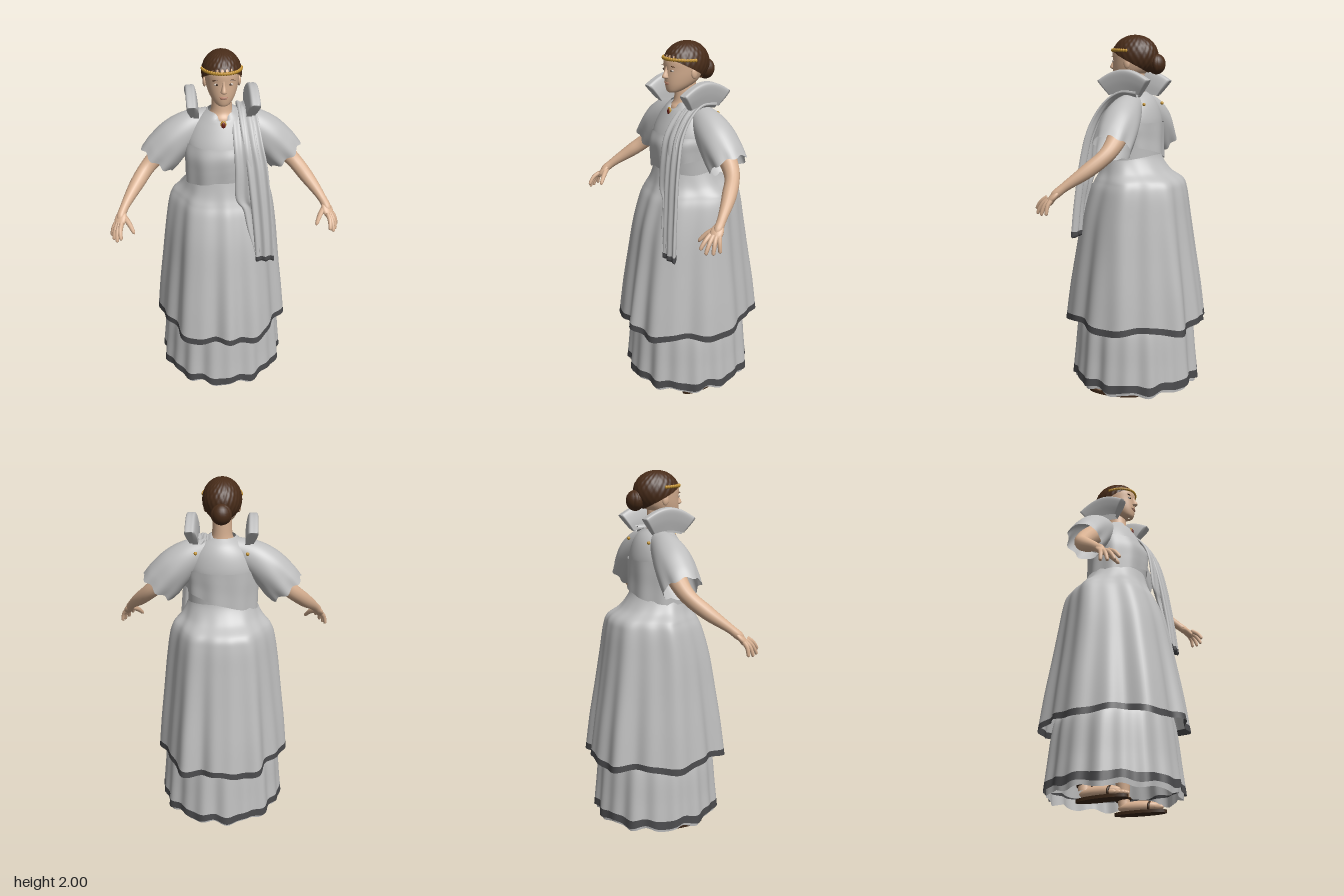
import * as THREE from 'three';

const mat = (name, color, side = THREE.FrontSide) => {
  const m = new THREE.MeshStandardMaterial({ color, side });
  m.name = name;
  return m;
};
const D = THREE.DoubleSide;

// Smooth interpolation through evenly numbered rows of values
function smooth(rows) {
  const n = rows[0].length;
  const itp = new THREE.CubicInterpolant(rows.map((_, i) => i), rows.flat(), n, new Float32Array(n));
  return t => Array.from(itp.evaluate(Math.min(Math.max(t, 0), rows.length - 1)));
}

// Surface from fn(u, v) -> [x, y, z]; closed wraps u
function grid(fn, nu, nv, closed = true) {
  const pos = [], idx = [], w = closed ? nu : nu + 1;
  for (let j = 0; j <= nv; j++) for (let i = 0; i < w; i++) pos.push(...fn(i / nu, j / nv));
  for (let j = 0; j < nv; j++) for (let i = 0; i < nu; i++) {
    const a = j * w + i, b = j * w + (i + 1) % w, c = a + w, d = b + w;
    idx.push(a, b, d, a, d, c);
  }
  const g = new THREE.BufferGeometry();
  g.setAttribute('position', new THREE.Float32BufferAttribute(pos, 3));
  g.setIndex(idx);
  g.computeVertexNormals();
  return g;
}

// Horizontal oval sections, bottom up: [y, half width, front z, back z, fold depth]
function loft(rows, { t0 = 0, t1 = rows.length - 1, fold = () => 0, shape = () => 1, dy = () => 0, nu = 64, nv = 24 } = {}) {
  const at = smooth(rows);
  return grid((u, v) => {
    const a = u * Math.PI * 2, t = t0 + (t1 - t0) * v;
    const [y, rx, zf, zb, f = 0] = at(t);
    const k = (1 + f * fold(a) / 0.38) * shape(a, t);
    return [rx * Math.sin(a) * k, y + dy(a, t), (zf + zb) / 2 + (zf - zb) / 2 * Math.cos(a) * k];
  }, nu, nv);
}

// Round limb through points [x, y, z, radius]
function limb(pts, nu = 12, nv = 20) {
  const curve = new THREE.CatmullRomCurve3(pts.map(p => new THREE.Vector3(p[0], p[1], p[2])));
  const fr = curve.computeFrenetFrames(nv), rad = smooth(pts.map(p => [p[3]]));
  return grid((u, v) => {
    const j = Math.round(v * nv), a = u * Math.PI * 2, r = Math.max(rad(v * (pts.length - 1))[0], 0);
    return curve.getPoint(v).addScaledVector(fr.normals[j], r * Math.cos(a))
      .addScaledVector(fr.binormals[j], r * Math.sin(a)).toArray();
  }, nu, nv);
}

export function createModel() {
  const root = new THREE.Group();
  root.name = 'robedWoman';
  const cloth = mat('cloth', 0xbebebe, D), trim = mat('darkTrim', 0x4a4a4c, D), skin = mat('skin', 0xd8b192);
  const hair = mat('hair', 0x482c19, D), gold = mat('gold', 0xc0902f), leather = mat('leather', 0x3d2818);
  const red = mat('pendantRed', 0x6a1f18), white = mat('eyeWhite', 0xcfc3b8), lip = mat('lip', 0xb07c66);

  const add = (name, geo, m, parent = root) => {
    const mesh = new THREE.Mesh(geo, m);
    mesh.name = name;
    parent.add(mesh);
    return mesh;
  };
  const ball = (name, m, [x, y, z], [sx, sy, sz], parent = root) => {
    const b = add(name, new THREE.SphereGeometry(1, 20, 14), m, parent);
    b.position.set(x, y, z);
    b.scale.set(sx, sy, sz);
    return b;
  };

  // Overskirt: squarish panels with a flared pleat at each side, and a dark hem
  const over = [
    [0.405, 0.325, 0.385, -0.39, 0.022], [0.6, 0.308, 0.358, -0.366, 0.019], [0.8, 0.287, 0.325, -0.336, 0.015],
    [1.0, 0.266, 0.288, -0.307, 0.011], [1.15, 0.245, 0.243, -0.285, 0.009], [1.215, 0.224, 0.212, -0.262, 0.007],
    [1.265, 0.2, 0.193, -0.195, 0.004], [1.34, 0.182, 0.175, -0.145, 0], [1.42, 0.17, 0.16, -0.13, 0]];
  const overOpt = {
    nu: 200,
    fold: a => 0.6 * Math.cos(10 * a) + 0.4 * Math.sin(15 * a + 1) + 0.3 * Math.sin(6 * a),
    dy: (a, t) => Math.max(0, 1 - t) * 0.013 * Math.cos(6 * a + 0.4),
    shape: (a, t) => {
      const s = Math.abs(Math.sin(a)), c = Math.abs(Math.cos(a)), n = 2.6;
      const square = (s ** n + c ** n) ** (-1 / n), fromSide = Math.acos(Math.min(s, 1));
      const pleat = 0.2 * Math.exp(-((fromSide / 0.24) ** 2));
      return 1 + (square * (1 + pleat) - 1) * Math.min(1, Math.max(0, (7 - t) / 2));
    },
  };
  add('overskirt', loft(over, { ...overOpt, t0: 0.18, nv: 50 }), cloth);
  add('overskirtHem', loft(over, { ...overOpt, t1: 0.18, nv: 3 }), trim);

  // Underskirt, its hem and the frill beneath
  const under = [[0.07, 0.36, 0.357, -0.365, 0.013], [0.2, 0.347, 0.343, -0.352, 0.012], [0.4, 0.326, 0.325, -0.333, 0.009],
    [0.55, 0.272, 0.3, -0.305, 0.006], [1.2, 0.17, 0.165, -0.165, 0]];
  const underOpt = {
    nu: 180,
    fold: a => 0.6 * Math.sin(18 * a) + 0.5 * Math.cos(11 * a + 1),
    dy: (a, t) => Math.max(0, 1 - t) * 0.009 * Math.sin(11 * a),
  };
  add('underskirt', loft(under, { ...underOpt, t0: 0.36 }), cloth);
  add('underskirtHem', loft(under, { ...underOpt, t1: 0.36, nv: 3 }), trim);
  add('underskirtFrill', loft([[0.048, 0.343, 0.34, -0.348, 0.014], [0.1, 0.347, 0.344, -0.352, 0.012]],
    { ...underOpt, nv: 2 }), cloth);

  // Bodice with dipped neckline, and the slanted wrap around the chest
  add('bodice', loft([[1.3, 0.185, 0.172, -0.14], [1.4, 0.188, 0.183, -0.14], [1.47, 0.193, 0.185, -0.14],
    [1.54, 0.193, 0.165, -0.14], [1.61, 0.165, 0.132, -0.125], [1.66, 0.12, 0.105, -0.1], [1.695, 0.072, 0.085, -0.062]],
  { dy: (a, t) => -0.055 * Math.exp(-((Math.min(a, 2 * Math.PI - a) / 0.35) ** 2)) * Math.max(0, t - 5) }), cloth);
  add('chestWrap', loft([[1.355, 0.198, 0.19, -0.155, 0.009], [1.42, 0.199, 0.195, -0.152, 0.008],
    [1.48, 0.202, 0.194, -0.152, 0.006], [1.53, 0.198, 0.175, -0.152, 0.004]],
  { fold: a => Math.sin(9 * a), nu: 96, dy: (a, t) => 0.055 * Math.sin(a) * (1 - t / 3) }), cloth);

  // Neck, head and face
  add('neck', loft([[1.6, 0.11, 0.1, -0.08], [1.66, 0.075, 0.092, -0.06], [1.7, 0.055, 0.072, -0.05],
    [1.8, 0.05, 0.065, -0.05]], { nu: 32 }), skin);
  add('head', loft([[1.742, 0.004, 0.1, 0.09], [1.748, 0.032, 0.119, 0.05], [1.775, 0.058, 0.127, -0.02],
    [1.81, 0.075, 0.13, -0.07], [1.86, 0.086, 0.129, -0.09], [1.92, 0.088, 0.129, -0.09], [1.965, 0.06, 0.09, -0.06],
    [1.985, 0.002, 0.02, 0]], { nu: 40 }), skin);
  add('nose', loft([[1.818, 0.004, 0.138, 0.12], [1.824, 0.016, 0.151, 0.11], [1.835, 0.014, 0.153, 0.11],
    [1.86, 0.008, 0.139, 0.11], [1.885, 0.007, 0.13, 0.11]], { nu: 16, nv: 14 }), skin);
  ball('upperLip', lip, [0, 1.797, 0.126], [0.023, 0.004, 0.008]);
  ball('lowerLip', lip, [0, 1.79, 0.125], [0.019, 0.005, 0.008]);
  for (const s of [-1, 1]) {
    ball('eye', white, [s * 0.035, 1.862, 0.118], [0.013, 0.006, 0.007]);
    ball('iris', leather, [s * 0.034, 1.862, 0.1225], [0.0055, 0.0055, 0.004]);
    ball('eyebrow', hair, [s * 0.037, 1.884, 0.1175], [0.021, 0.0025, 0.006]).rotation.z = -s * 0.1;
    ball('ear', skin, [s * 0.088, 1.845, 0.015], [0.01, 0.028, 0.018]);
    ball('shoulderPin', gold, [s * 0.135, 1.63, -0.105], [0.009, 0.009, 0.009]);
  }

  // Hair cap low at the nape, with a coiled bun
  add('hairCap', grid((u, v) => {
    const a = u * Math.PI * 2, phi = (1 - v) * (1.25 + 0.62 * (1 - Math.cos(a)));
    const k = 1 + 0.016 * Math.sin(24 * a) * Math.sin(phi) * Math.sin(phi * 12 + a);
    return [0.102 * k * Math.sin(phi) * Math.sin(a), 1.888 + 0.112 * k * Math.cos(phi),
      0.003 + 0.13 * k * Math.sin(phi) * Math.cos(a)];
  }, 120, 30), hair);
  ball('bun', hair, [0, 1.843, -0.122], [0.05, 0.055, 0.05]);
  add('bunCoil', new THREE.TorusGeometry(0.038, 0.016, 10, 28), hair).position.set(0, 1.843, -0.13);

  // Beaded gold headband
  const bandPt = a => new THREE.Vector3(0.1 * Math.sin(a), 1.912 + 0.008 * Math.cos(a), 0.004 + 0.128 * Math.cos(a));
  const band = new THREE.CatmullRomCurve3([-1.5, -1, -0.5, 0, 0.5, 1, 1.5].map(bandPt));
  add('headband', new THREE.TubeGeometry(band, 40, 0.007, 8), gold);
  for (let i = 0; i < 25; i++) ball('headbandBead', gold, bandPt(-1.5 + i * 0.125).toArray(), [0.007, 0.0095, 0.007]);

  // Pendant at the throat
  ball('pendantSetting', gold, [0, 1.642, 0.112], [0.016, 0.024, 0.008]);
  ball('pendantStone', red, [0, 1.642, 0.117], [0.011, 0.017, 0.007]);

  // One side of the body; mirrored for the other
  const side = new THREE.Group();
  side.name = 'leftSide';

  // Wide sleeve: rows of top x, top y, bottom x, bottom y, half depth
  const sleeve = smooth([[0.08, 1.692, 0.13, 1.5, 0.07], [0.2, 1.668, 0.165, 1.46, 0.092], [0.3, 1.615, 0.2, 1.42, 0.104],
    [0.38, 1.54, 0.23, 1.38, 0.104], [0.425, 1.482, 0.265, 1.345, 0.1]]);
  add('sleeve', grid((u, v) => {
    const [tx, ty, bx, by, hz] = sleeve(v * 4), a = u * Math.PI * 2, k = (1 - Math.cos(a)) / 2;
    const w = v * v * 0.006 * Math.sin(7 * a);
    return [tx + (bx - tx) * k + w, ty + (by - ty) * k - w, -0.013 + (hz + w) * Math.sin(a)];
  }, 56, 24), cloth, side);

  // Arm and hand
  add('arm', limb([[0.16, 1.58, -0.02, 0.06], [0.27, 1.49, -0.025, 0.056], [0.385, 1.385, -0.005, 0.043],
    [0.46, 1.305, 0.07, 0.038], [0.528, 1.225, 0.168, 0.024], [0.552, 1.185, 0.213, 0.022], [0.565, 1.16, 0.24, 0]],
  16, 40), skin, side);
  ball('palm', skin, [0.553, 1.175, 0.22], [0.034, 0.018, 0.05], side).rotation.set(0.85, 0.3, -0.45);
  [[0.602, 1.085, 0.236], [0.592, 1.08, 0.27], [0.574, 1.084, 0.302], [0.552, 1.105, 0.318]].forEach(([x, y, z], i) => {
    const b = [0.576 - i * 0.01, 1.16 + i * 0.004, 0.222 + i * 0.011];
    add('finger', limb([[...b, 0.013], [(b[0] + x) / 2 + 0.004, (b[1] + y) / 2 + 0.01, (b[2] + z) / 2 + 0.004, 0.0115],
      [x, y + 0.006, z, 0.0085], [x, y, z, 0]], 8, 12), skin, side);
  });
  add('thumb', limb([[0.54, 1.19, 0.205, 0.017], [0.508, 1.16, 0.245, 0.014], [0.487, 1.125, 0.275, 0.0095],
    [0.483, 1.115, 0.281, 0]], 8, 12), skin, side);

  // Fan-shaped collar wing, a closed band curling outwards: rows of x, height share
  const wing = smooth([[0.122, 0], [0.125, 0.5], [0.138, 0.97], [0.16, 1.02], [0.186, 0.97], [0.182, 0.6], [0.165, 0.1]]);
  add('collarWing', grid((u, v) => {
    const end = u === 0 || u === 1, s = THREE.MathUtils.clamp((u * 2 - 1) * 1.08, -1, 1);
    const [x, h] = wing(v * 6), arch = Math.cos(s * 1.3) * 1.37 - 0.37;
    return [end ? 0.15 : x, 1.67 + 0.01 * arch + h * (0.085 + 0.045 * arch), s * (0.08 + 0.065 * h)];
  }, 30, 36, false), cloth, side);

  // Lower leg, foot and sandal
  add('leg', limb([[0.215, 0.05, -0.055, 0.034], [0.212, 0.11, -0.06, 0.034], [0.2, 0.3, -0.06, 0.055],
    [0.16, 0.7, 0, 0.075]], 16, 16), skin, side);
  const foot = new THREE.Group();
  foot.name = 'foot';
  foot.position.set(0.215, 0, 0.04);
  foot.rotation.y = 0.08;
  side.add(foot);
  const sole = add('sandalSole', new THREE.CylinderGeometry(1, 1, 0.016, 32), leather, foot);
  sole.position.y = 0.008;
  sole.scale.set(0.052, 1, 0.15);
  ball('footBody', skin, [0, 0.04, -0.01], [0.042, 0.034, 0.12], foot);
  for (let i = 0; i < 5; i++)
    ball('toe', skin, [-0.03 + i * 0.015, 0.028, 0.115 - i * i * 0.0025], [0.01, 0.013, 0.026], foot);
  for (const [y, z, rx, ry, tilt] of [[0.032, 0.06, 0.041, 0.03, 0], [0.085, -0.098, 0.038, 0.038, 1.4]]) {
    const strap = add('sandalStrap', new THREE.TorusGeometry(1, 0.17, 8, 28), leather, foot);
    strap.position.set(0, y, z);
    strap.rotation.x = tilt;
    strap.scale.set(rx, ry, 0.04);
  }
  root.add(side);
  const other = side.clone();
  other.name = 'rightSide';
  other.scale.x = -1;
  root.add(other);

  // Stole over the left shoulder: rows of left x, right x, y, z
  function stole(rows, thick, t0, t1, nv) {
    const at = smooth(rows);
    return grid((u, v) => {
      const t = t0 + (t1 - t0) * v, [xa, xb, y, z] = at(t), a = u * Math.PI * 2;
      const c = Math.cos(a), n = Math.sign(Math.sin(a)) * Math.sqrt(Math.abs(Math.sin(a))) * (t >= rows.length - 1 ? 0 : thick);
      const ripple = 0.006 * Math.sin(c * 7 + 1), flat = Math.min(1, t / 3);
      return [(xa + xb) / 2 + c * (xb - xa) / 2, y + (n + ripple) * (1 - flat), z + (n + ripple) * flat];
    }, 48, nv);
  }
  const long = [[0.08, 0.17, 1.685, -0.07], [0.08, 0.175, 1.69, 0.02], [0.085, 0.185, 1.64, 0.1], [0.095, 0.2, 1.55, 0.162],
    [0.11, 0.22, 1.45, 0.197], [0.125, 0.235, 1.32, 0.222], [0.14, 0.248, 1.18, 0.24], [0.153, 0.258, 1.04, 0.255],
    [0.162, 0.266, 0.895, 0.266]];
  add('stoleLong', stole(long, 0.014, 0, 7.75, 50), cloth);
  add('stoleLongHem', stole(long, 0.016, 7.75, 8, 4), trim);
  add('stoleShort', stole([[0.045, 0.15, 1.68, -0.05], [0.045, 0.15, 1.69, 0.03], [0.045, 0.16, 1.63, 0.108],
    [0.048, 0.17, 1.54, 0.172], [0.052, 0.19, 1.43, 0.2], [0.055, 0.2, 1.27, 0.215], [0.095, 0.21, 1.2, 0.222],
    [0.12, 0.21, 1.08, 0.245], [0.16, 0.21, 0.94, 0.262]], 0.009, 0, 8, 50), cloth);

  return root;
}
